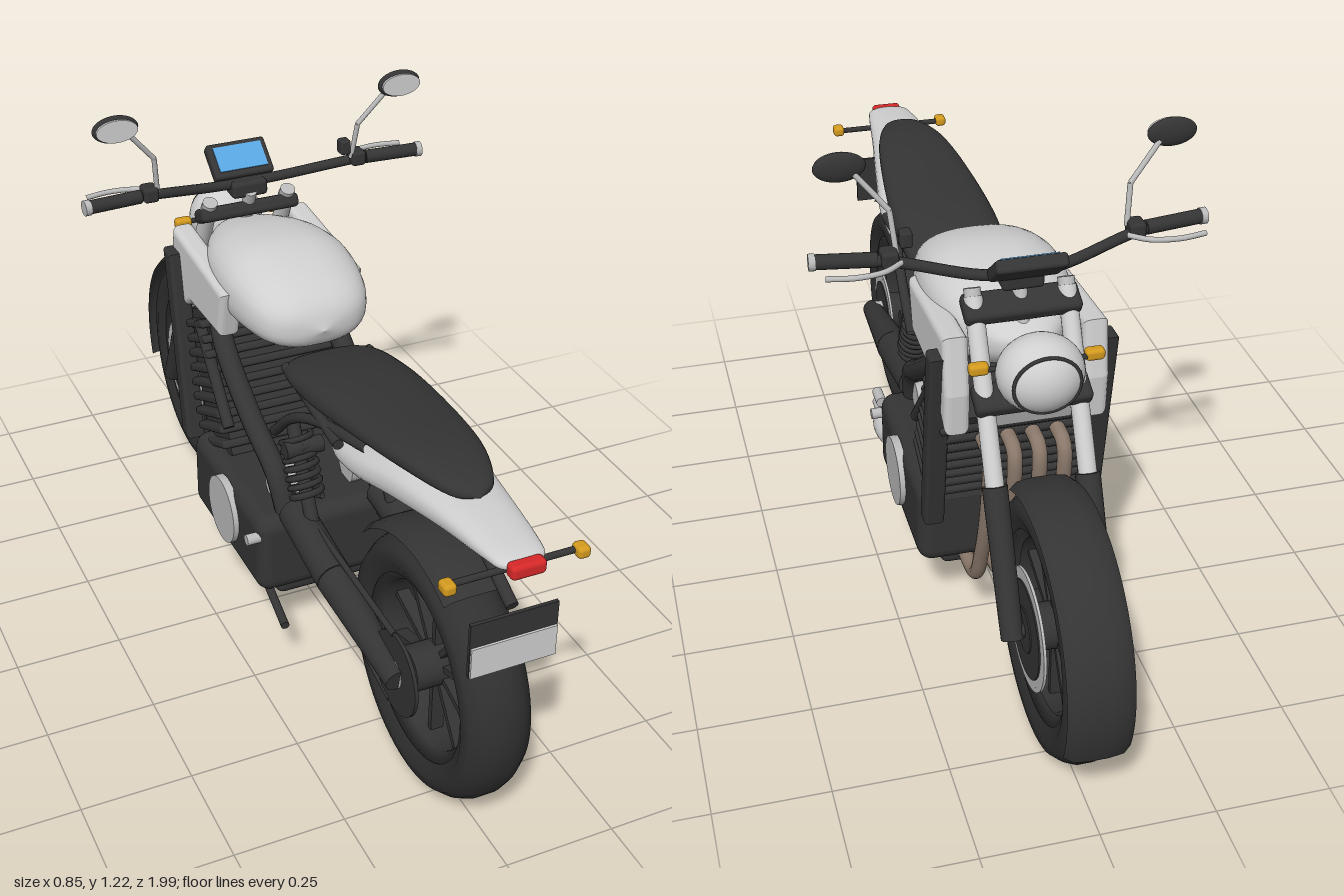
import * as THREE from 'three';
import { RoundedBoxGeometry } from 'three/addons/geometries/RoundedBoxGeometry.js';

const mat = (name, color, extra = {}) => Object.assign(new THREE.MeshStandardMaterial({ color, ...extra }), { name });
const V = (x, y, z) => new THREE.Vector3(x, y, z);

export function createModel() {
  const root = new THREE.Group();
  root.name = 'motorcycle';
  const black = mat('black parts', 0x343434, { side: THREE.DoubleSide });
  const rubber = mat('tyre rubber', 0x303030);
  const silver = mat('silver paint', 0xcfcfcf);
  const metal = mat('bare metal', 0xbababa);
  const bronze = mat('exhaust bronze', 0x8c7a6c);
  const blue = mat('screen blue', 0x58a6e0);
  const red = mat('tail light red', 0xd62828);
  const amber = mat('indicator amber', 0xd39a1e);

  const add = (name, geo, m, pos = [0, 0, 0], rot = [0, 0, 0], parent = root) => {
    const mesh = new THREE.Mesh(geo, m);
    mesh.name = name;
    mesh.position.set(...pos);
    mesh.rotation.set(...rot);
    parent.add(mesh);
    return mesh;
  };
  const box = (name, m, size, pos, rot, parent) => add(name, new THREE.BoxGeometry(...size), m, pos, rot, parent);
  const rbox = (name, m, size, r, pos, rot, parent) => add(name, new RoundedBoxGeometry(...size, 3, r), m, pos, rot, parent);
  // Straight round bar from a to b
  const rod = (name, m, a, b, r0, r1 = r0, parent = root) => {
    const p = V(...a), q = V(...b), d = q.clone().sub(p);
    const mesh = add(name, new THREE.CylinderGeometry(r1, r0, d.length(), 20), m, [0, 0, 0], [0, 0, 0], parent);
    mesh.position.copy(p).add(q).multiplyScalar(0.5);
    mesh.quaternion.setFromUnitVectors(V(0, 1, 0), d.normalize());
    return mesh;
  };
  const tube = (name, m, pts, r, parent) =>
    add(name, new THREE.TubeGeometry(new THREE.CatmullRomCurve3(pts.map(p => V(...p))), 40, r, 12), m, [0, 0, 0], [0, 0, 0], parent);
  const both = fn => [-1, 1].forEach(fn);
  // Smooth body through sections [z, centre y, half width, height above, height below]
  const loft = (name, m, secs) => {
    const A = new THREE.CatmullRomCurve3(secs.map(s => V(s[0], s[1], s[2])), false, 'catmullrom', 0.5);
    const B = new THREE.CatmullRomCurve3(secs.map(s => V(s[3], s[4], 0)), false, 'catmullrom', 0.5);
    const N = 40, K = 32, pos = [], idx = [];
    for (let i = 0; i <= N; i++) {
      const a = A.getPoint(i / N), b = B.getPoint(i / N);
      for (let j = 0; j < K; j++) {
        const t = j / K * Math.PI * 2, c = Math.cos(t), s = Math.sin(t);
        const h = s > 0 ? Math.max(b.x, 0) : Math.max(b.y, 0);
        pos.push(Math.max(a.z, 0) * Math.sign(c) * Math.abs(c) ** 0.8, a.y + h * Math.sign(s) * Math.abs(s) ** 0.8, a.x);
        if (i < N) {
          const k = (j + 1) % K, p = i * K;
          idx.push(p + j, p + k, p + K + j, p + k, p + K + k, p + K + j);
        }
      }
    }
    const g = new THREE.BufferGeometry();
    g.setAttribute('position', new THREE.Float32BufferAttribute(pos, 3));
    g.setIndex(idx);
    g.computeVertexNormals();
    return add(name, g, m);
  };
  // Turned part about the x axis
  const lathe = (name, m, pts, parent, start = 0, len = Math.PI * 2) =>
    add(name, new THREE.LatheGeometry(pts.map(p => new THREE.Vector2(...p)), 64, start, len), m, [0, 0, 0], [0, 0, Math.PI / 2], parent);
  const disc = (name, m, r, w, x, parent) =>
    add(name, new THREE.CylinderGeometry(r, r, w, 40), m, [x, 0, 0], [0, 0, Math.PI / 2], parent);

  // Wheels
  const wheel = (name, z, R, hw) => {
    const g = new THREE.Group();
    g.name = name;
    g.position.set(0, 0.29, z);
    root.add(g);
    lathe('tyre', rubber, [[0.205, -hw * 0.8], [0.235, -hw], [0.262, -hw * 0.93], [R - 0.009, -hw * 0.6], [R, -hw * 0.25], [R, hw * 0.25],
      [R - 0.009, hw * 0.6], [0.262, hw * 0.93], [0.235, hw], [0.205, hw * 0.8]], g);
    lathe('rim', black, [[0.185, -hw * 0.5], [0.215, -hw * 0.85], [0.215, hw * 0.85], [0.185, hw * 0.5], [0.185, -hw * 0.5]], g);
    disc('hub', black, 0.05, 0.15, 0, g);
    for (let i = 0; i < 10; i++) {
      const a = i / 10 * Math.PI * 2;
      box('spoke', black, [0.03, 0.15, 0.014], [0, Math.cos(a) * 0.12, Math.sin(a) * 0.12], [a, 0, 0], g);
    }
    return g;
  };
  const brake = (g, x, r) => {
    const ring = new THREE.Shape().absarc(0, 0, r, 0, Math.PI * 2);
    ring.holes.push(new THREE.Path().absarc(0, 0, r - 0.028, 0, Math.PI * 2));
    for (let i = 0; i < 28; i++) {
      const a = i / 28 * Math.PI * 2;
      ring.holes.push(new THREE.Path().absarc(Math.cos(a) * (r - 0.011), Math.sin(a) * (r - 0.011), 0.0035, 0, 7));
    }
    add('brakeDisc', new THREE.ExtrudeGeometry(ring, { depth: 0.006, bevelEnabled: false, curveSegments: 32 }), metal, [x - 0.003, 0, 0], [0, Math.PI / 2, 0], g);
    disc('brakeCarrier', black, r - 0.026, 0.012, x, g);
  };
  const front = wheel('frontWheel', -0.685, 0.287, 0.062);
  both(s => brake(front, s * 0.066, 0.132));
  const rear = wheel('rearWheel', 0.675, 0.29, 0.075);
  brake(rear, 0.082, 0.112);
  disc('sprocket', black, 0.095, 0.008, -0.1, rear);
  disc('rearAxle', metal, 0.02, 0.25, 0, rear);
  both(s => disc('axleCap', metal, 0.032, 0.02, s * 0.095, rear));
  disc('frontAxle', black, 0.016, 0.23, 0, front);
  const fender = (name, parent, R, hw, a, b) =>
    lathe(name, black, [[R - 0.018, -hw], [R - 0.004, -hw * 0.75], [R, -hw * 0.3], [R, hw * 0.3], [R - 0.004, hw * 0.75], [R - 0.018, hw]], parent, a, b - a);
  fender('frontFender', front, 0.31, 0.07, 1.08, 3.5);
  fender('rearFender', rear, 0.32, 0.075, 1.08, 2.42);

  // Tank, seat and tail
  loft('fuelTank', silver, [[-0.44, 0.82, 0, 0, 0], [-0.42, 0.815, 0.06, 0.03, 0.04], [-0.34, 0.805, 0.12, 0.07, 0.08], [-0.24, 0.805, 0.155, 0.095, 0.09],
    [-0.12, 0.805, 0.163, 0.103, 0.09], [0, 0.795, 0.142, 0.082, 0.075], [0.06, 0.785, 0.095, 0.05, 0.05], [0.085, 0.78, 0, 0, 0]]);
  loft('seat', black, [[0.065, 0.715, 0, 0, 0], [0.1, 0.717, 0.105, 0.022, 0.014], [0.25, 0.735, 0.125, 0.045, 0.028], [0.45, 0.765, 0.115, 0.038, 0.025],
    [0.65, 0.79, 0.088, 0.03, 0.025], [0.77, 0.79, 0.048, 0.02, 0.015], [0.805, 0.787, 0, 0, 0]]);
  loft('tailPanel', silver, [[0.32, 0.665, 0, 0, 0], [0.35, 0.667, 0.1, 0.025, 0.02], [0.47, 0.69, 0.122, 0.05, 0.038], [0.62, 0.725, 0.105, 0.05, 0.045],
    [0.78, 0.745, 0.08, 0.035, 0.035], [0.92, 0.752, 0.06, 0.02, 0.02], [0.97, 0.752, 0.045, 0.012, 0.012], [0.985, 0.752, 0, 0, 0]]);
  rbox('tailLight', red, [0.075, 0.032, 0.03], 0.01, [0, 0.748, 0.983]);

  // Side shrouds and cooler strips
  const plate = (name, m, pts, depth, bevel, x, yaw = 0) => {
    const shape = new THREE.Shape(pts.map(([z, y]) => new THREE.Vector2(-z, y)));
    const geo = new THREE.ExtrudeGeometry(shape, { depth, bevelThickness: bevel, bevelSize: bevel, bevelOffset: -bevel, bevelSegments: 4 });
    geo.translate(0, 0, -depth / 2);
    both(s => add(name, geo, m, [s * x, 0, 0], [0, Math.PI / 2 + s * yaw, 0]));
  };
  plate('tankShroud', silver, [[-0.09, 0.82], [-0.25, 0.835], [-0.42, 0.85], [-0.44, 0.72], [-0.43, 0.62], [-0.38, 0.65], [-0.31, 0.695], [-0.12, 0.7]], 0.025, 0.015, 0.15);
  plate('coolerStrip', black, [[-0.37, 0.8], [-0.42, 0.8], [-0.335, 0.325], [-0.29, 0.325]], 0.03, 0.008, 0.18);

  // Engine with tilted, finned cylinders
  rbox('crankcase', black, [0.4, 0.205, 0.445], 0.035, [0, 0.262, -0.047]);
  rbox('sump', black, [0.28, 0.08, 0.36], 0.02, [0, 0.155, -0.045]);
  both(s => disc('engineCover', metal, 0.083, 0.02, s * 0.203, root).position.set(s * 0.203, 0.275, -0.042));
  const cyl = new THREE.Group();
  cyl.name = 'cylinderBlock';
  cyl.position.set(0, 0.35, -0.18);
  cyl.rotation.x = -0.44;
  root.add(cyl);
  box('cylinders', black, [0.31, 0.36, 0.15], [0, 0.17, 0], [0, 0, 0], cyl);
  for (let i = 0; i < 9; i++) rbox('coolingFin', black, [0.355, 0.02, 0.175], 0.008, [0, 0.02 + i * 0.037, 0], [0, 0, 0], cyl);
  box('headPlate', silver, [0.2, 0.06, 0.03], [0, 0.655, -0.42], [-0.44, 0, 0]);
  both(s => {
    rod('gearCover', metal, [s * 0.06, 0.395, 0.075], [s * 0.13, 0.395, 0.075], 0.038);
    rod('footPeg', metal, [s * 0.17, 0.315, 0.15], [s * 0.225, 0.315, 0.15], 0.013);
  });

  // Exhaust headers, muffler and tips
  for (let i = 0; i < 4; i++) {
    const x = (i - 1.5) * 0.055;
    tube('exhaustHeader', bronze, [[x, 0.57, -0.38], [x, 0.56, -0.435], [x, 0.42, -0.425], [x, 0.26, -0.375], [x, 0.16, -0.32], [x, 0.14, -0.2]], 0.017);
  }
  const muffler = add('muffler', new THREE.SphereGeometry(0.1, 28, 20), silver, [0.155, 0.205, 0.245], [0.15, 0, 0]);
  muffler.scale.set(0.45, 0.42, 1);
  both(s => rod('exhaustTip', metal, [0.17, 0.23 + s * 0.015, 0.3], [0.17, 0.23 + s * 0.015, 0.355], 0.013));

  // Frame, swingarm, shocks and chain
  both(s => {
    tube('frameTube', black, [[s * 0.12, 0.72, -0.27], [s * 0.14, 0.65, -0.19], [s * 0.14, 0.53, -0.02], [s * 0.13, 0.45, 0.1], [s * 0.12, 0.36, 0.14]], 0.026);
    rod('frameBrace', black, [s * 0.165, 0.66, -0.28], [s * 0.165, 0.46, -0.1], 0.014);
    rod('swingarm', black, [s * 0.11, 0.375, 0.17], [s * 0.115, 0.345, 0.4], 0.04, 0.042);
    rod('swingarm', black, [s * 0.115, 0.345, 0.4], [s * 0.11, 0.29, 0.7], 0.042, 0.026);
    tube('subframe', black, [[s * 0.09, 0.74, 0.5], [s * 0.12, 0.7, 0.3], [s * 0.13, 0.65, 0.2], [s * 0.13, 0.56, 0.1]], 0.012);
    rod('subframeStay', black, [s * 0.1, 0.72, 0.1], [s * 0.12, 0.71, 0.42], 0.012);
    rod('shockRod', black, [s * 0.1, 0.6, 0.13], [s * 0.1, 0.38, 0.25], 0.016);
    const coil = [];
    for (let i = 0; i <= 56; i++) {
      const a = i / 8 * Math.PI * 2, t = i / 56;
      coil.push([s * 0.1 + Math.cos(a) * 0.035, 0.57 - t * 0.13 + Math.sin(a) * 0.016, 0.15 + t * 0.07 + Math.sin(a) * 0.031]);
    }
    add('shockSpring', new THREE.TubeGeometry(new THREE.CatmullRomCurve3(coil.map(p => V(...p))), 140, 0.008, 6), black);
    rod('shockMount', black, [s * 0.05, 0.555, 0.18], [s * 0.14, 0.555, 0.18], 0.02);
  });
  rod('chain', black, [-0.1, 0.325, 0.17], [-0.1, 0.2, 0.65], 0.007);
  rod('chain', black, [-0.1, 0.4, 0.12], [-0.1, 0.38, 0.66], 0.007);
  rod('brakeHose', black, [0.1, 0.32, 0.17], [0.1, 0.235, 0.62], 0.006);
  rbox('rearCaliper', black, [0.035, 0.05, 0.07], 0.01, [0.095, 0.235, 0.61]);
  rod('sideStand', black, [-0.15, 0.17, 0.0], [-0.18, 0.14, 0.27], 0.01);

  // Number plate and rear indicators
  rod('plateBracket', black, [0, 0.72, 0.76], [0, 0.63, 0.945], 0.013);
  box('plateHolder', black, [0.19, 0.125, 0.008], [0, 0.56, 0.955]);
  box('numberPlate', silver, [0.186, 0.07, 0.006], [0, 0.533, 0.961]);
  rod('indicatorBar', black, [-0.14, 0.72, 0.94], [0.14, 0.72, 0.94], 0.007);
  both(s => {
    rbox('rearIndicator', amber, [0.028, 0.026, 0.034], 0.009, [s * 0.142, 0.72, 0.945]);
    rod('indicatorStem', black, [s * 0.08, 0.815, -0.5], [s * 0.12, 0.815, -0.5], 0.006);
    rbox('frontIndicator', amber, [0.042, 0.026, 0.026], 0.009, [s * 0.122, 0.817, -0.495]);
  });

  // Forks, steering head and headlight
  both(s => {
    rod('forkTube', silver, [s * 0.1, 0.91, -0.365], [s * 0.1, 0.54, -0.555], 0.02);
    rod('forkCap', metal, [s * 0.1, 0.905, -0.367], [s * 0.1, 0.925, -0.357], 0.018);
    rod('forkLower', black, [s * 0.1, 0.56, -0.545], [s * 0.1, 0.275, -0.692], 0.027, 0.024);
    rbox('frontCaliper', black, [0.03, 0.09, 0.045], 0.01, [s * 0.085, 0.34, -0.6], [0.4, 0, 0]);
  });
  [[0.885, -0.375], [0.72, -0.465]].forEach(([y, z]) => rbox('forkClamp', black, [0.25, 0.035, 0.07], 0.012, [0, y, z], [-0.45, 0, 0]));
  rod('steeringStem', metal, [0, 0.7, -0.45], [0, 0.94, -0.35], 0.016);
  const lamp = add('headlight', new THREE.SphereGeometry(1, 36, 24), silver, [0, 0.805, -0.52]);
  lamp.scale.set(0.092, 0.083, 0.08);
  const lampRim = add('headlightRim', new THREE.TorusGeometry(0.07, 0.004, 8, 40), black, [0, 0.805, -0.572]);
  lampRim.scale.y = 0.9;

  // Handlebar, controls, display and mirrors
  tube('handlebar', black, [[-0.41, 0.997, -0.3], [-0.27, 0.99, -0.32], [-0.07, 0.957, -0.37], [0.07, 0.957, -0.37], [0.27, 0.99, -0.32], [0.41, 0.997, -0.3]], 0.012);
  rbox('barClamp', black, [0.09, 0.04, 0.05], 0.01, [0, 0.945, -0.37]);
  rbox('display', black, [0.15, 0.095, 0.03], 0.008, [0, 0.992, -0.42], [-0.9, 0, 0]);
  box('screen', blue, [0.122, 0.066, 0.006], [0, 1.004, -0.411], [-0.9, 0, 0]);
  both(s => {
    rod('grip', black, [s * 0.285, 0.993, -0.315], [s * 0.412, 0.996, -0.3], 0.016);
    rod('gripEnd', metal, [s * 0.41, 0.996, -0.3], [s * 0.424, 0.996, -0.299], 0.018);
    rbox('switchHousing', black, [0.036, 0.036, 0.045], 0.008, [s * 0.262, 0.997, -0.318]);
    tube('lever', metal, [[s * 0.24, 0.99, -0.335], [s * 0.28, 0.99, -0.365], [s * 0.34, 0.99, -0.375], [s * 0.4, 0.99, -0.365]], 0.006);
    rod('mirrorStem', metal, [s * 0.245, 1.0, -0.31], [s * 0.254, 1.09, -0.295], 0.006);
    rod('mirrorStem', metal, [s * 0.254, 1.09, -0.295], [s * 0.32, 1.17, -0.278], 0.006);
    const shell = add('mirrorShell', new THREE.SphereGeometry(1, 28, 18), black, [s * 0.348, 1.185, -0.272]);
    shell.scale.set(0.054, 0.032, 0.014);
    const glass = add('mirrorGlass', new THREE.CylinderGeometry(1, 1, 0.006, 36), silver, [s * 0.348, 1.185, -0.259], [Math.PI / 2, 0, 0]);
    glass.scale.set(0.048, 1, 0.026);
  });
  rbox('fluidReservoir', black, [0.026, 0.036, 0.03], 0.006, [0.226, 1.032, -0.31]);
  return root;
}
